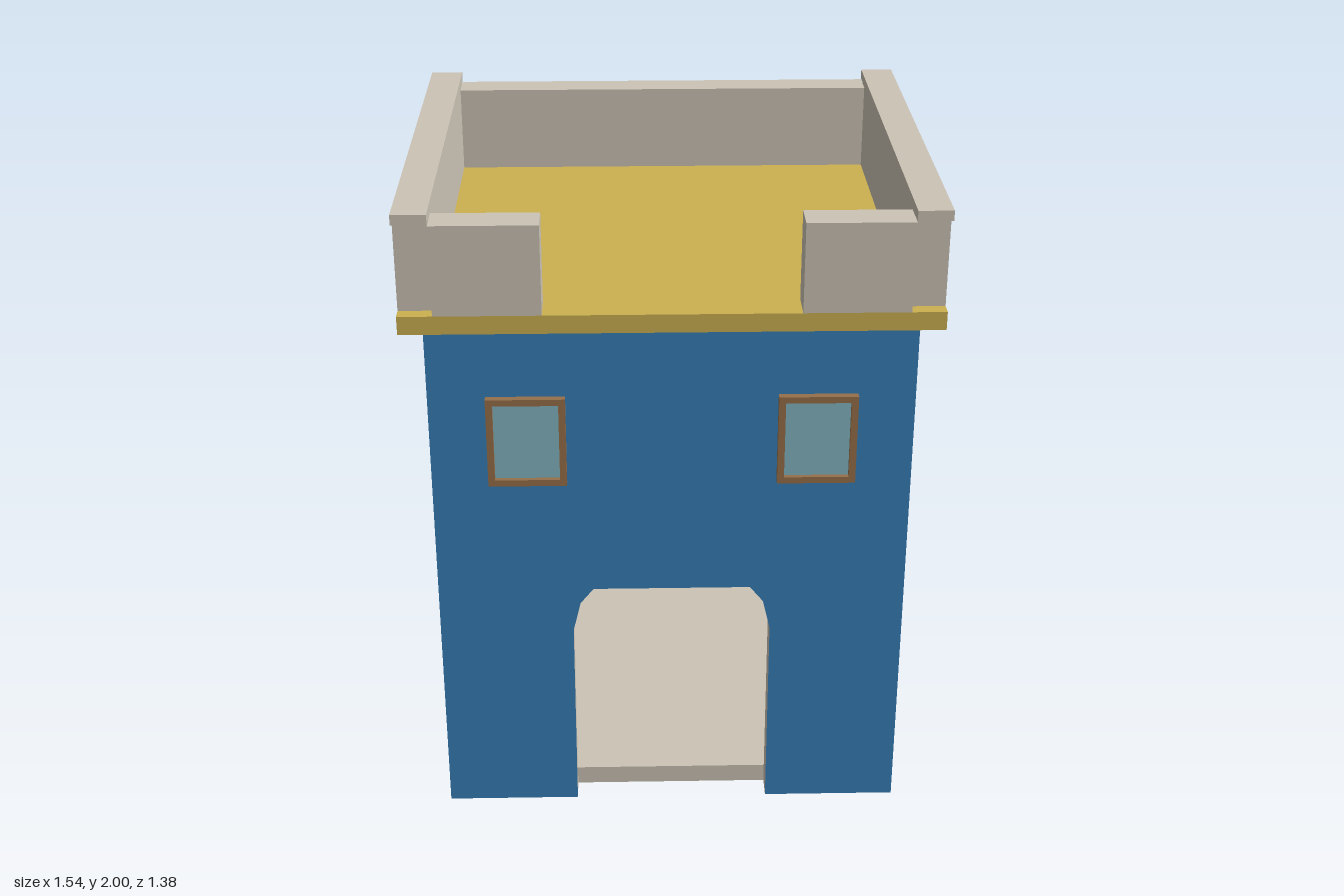
import * as THREE from 'three';

const mat = (name, color) => {
  const m = new THREE.MeshStandardMaterial({ color });
  m.name = name;
  return m;
};

export function createModel() {
  const blue = mat('blue paint', 0x377eb8);
  const stone = mat('pale stone', 0xccc4b5);
  const yellow = mat('yellow roof', 0xccb151);
  const wood = mat('brown wood', 0x96704a);
  const glass = mat('window glass', 0x84b5c1);

  const house = new THREE.Group();
  house.name = 'house';

  // Box given by its minimum and maximum on each axis
  const box = (name, material, [x0, x1], [y0, y1], [z0, z1], parent = house) => {
    const mesh = new THREE.Mesh(new THREE.BoxGeometry(x1 - x0, y1 - y0, z1 - z0), material);
    mesh.position.set((x0 + x1) / 2, (y0 + y1) / 2, (z0 + z1) / 2);
    mesh.name = name;
    parent.add(mesh);
    return mesh;
  };

  const W = 0.705, T = 0.075, H = 1.645, FRONT = 0.63, BACK = -0.625;
  const inner = FRONT - T;

  // Front wall with arched doorway: painted faces, bare stone edges
  const wall = new THREE.Shape();
  wall.moveTo(-W, 0);
  wall.lineTo(-0.3, 0);
  wall.lineTo(-0.3, 0.63);
  for (let i = 1; i <= 8; i++) {
    const a = Math.PI * (1 - i / 8);
    wall.lineTo(0.3 * Math.cos(a), 0.63 + 0.25 * Math.sin(a));
  }
  wall.lineTo(0.3, 0);
  wall.lineTo(W, 0);
  wall.lineTo(W, H);
  wall.lineTo(-W, H);
  const frontWall = new THREE.Mesh(
    new THREE.ExtrudeGeometry(wall, { depth: T, bevelEnabled: false }), [blue, stone]);
  frontWall.position.z = inner;
  frontWall.name = 'frontWall';
  house.add(frontWall);

  // Remaining walls and floor
  box('leftWall', blue, [W - T, W], [0, H], [BACK, inner]);
  box('rightWall', blue, [-W, T - W], [0, H], [BACK, inner]);
  box('backWall', blue, [T - W, W - T], [0, H], [BACK, BACK + T]);
  box('floor', stone, [T - W, W - T], [0, 0.06], [BACK + T, inner]);

  // Roof slab
  const RX = 0.77, RZ = 0.688, RY = 1.7;
  box('roofSlab', yellow, [-RX, RX], [H, RY], [-RZ, RZ]);

  // Parapets: capped sides, plain back, front split by a gap
  for (const [side, s] of [['left', 1], ['right', -1]]) {
    const span = (a, b) => (s > 0 ? [a, b] : [-b, -a]);
    box(side + 'Parapet', stone, span(0.67, RX), [RY, 1.97], [-0.645, 0.645]);
    box(side + 'ParapetCap', stone, span(0.67, RX), [1.97, 2], [-RZ, RZ]);
    box(side + 'FrontParapet', stone, span(0.365, 0.67), [RY, 1.967], [0.585, RZ]);
  }
  box('backParapet', stone, [-0.67, 0.67], [RY, 1.967], [-RZ, -0.588]);

  // Window: raised frame around a recessed pane, facing +z
  const addWindow = (name, w, h, depth, rim) => {
    const group = new THREE.Group();
    group.name = name;
    const x = w / 2, y = h / 2;
    for (const s of [-1, 1]) {
      const rail = box('frameRail', wood, [-x, x], [-rim / 2, rim / 2], [0, depth], group);
      rail.position.y = s * (y - rim / 2);
      const post = box('framePost', wood, [-rim / 2, rim / 2], [rim - y, y - rim], [0, depth], group);
      post.position.x = s * (x - rim / 2);
    }
    box('pane', glass, [rim - x, x - rim], [rim - y, y - rim], [0, 0.008], group);
    house.add(group);
    return group;
  };
  addWindow('frontLeftWindow', 0.23, 0.28, 0.023, 0.02).position.set(0.423, 1.283, FRONT);
  addWindow('frontRightWindow', 0.23, 0.28, 0.023, 0.02).position.set(-0.423, 1.283, FRONT);
  const sideWindow = addWindow('sideWindow', 0.24, 0.29, 0.023, 0.017);
  sideWindow.position.set(W, 1.26, 0);
  sideWindow.rotation.y = Math.PI / 2;

  return house;
}
